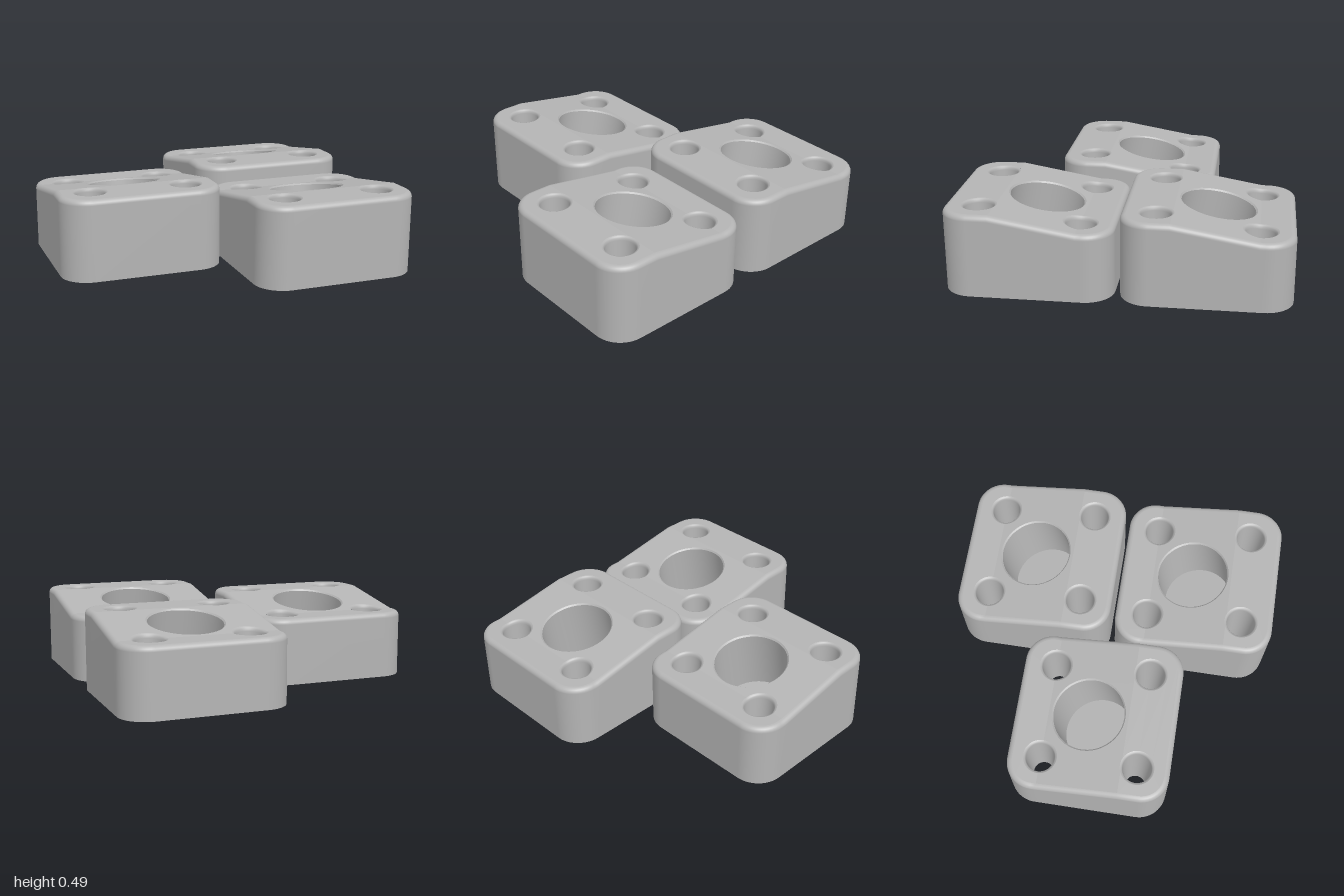
import * as THREE from 'three';

const HALF = 0.4925, CORNER = 0.17, FILLET = 0.032;
const HIGH = 0.49, LOW = 0.405, Z_HIGH = 0.2, Z_LOW = -0.29; // stepped, sloping top
const HOLE = 0.294, SEG = 48;

// Height of the top: high flat at the front, slope, low flat at the back
const topY = (z) => LOW + (HIGH - LOW) * THREE.MathUtils.clamp((z - Z_LOW) / (Z_HIGH - Z_LOW), 0, 1);

// Rounded-square outline, with extra points on the sides where the slope begins and ends
function outline(inset) {
  const pts = [], c = HALF - CORNER, r = CORNER - inset, n = 12;
  [[1, 1], [-1, 1], [-1, -1], [1, -1]].forEach(([sx, sz], q) => {
    for (let i = 0; i <= n; i++) {
      const a = (q + i / n) * Math.PI / 2;
      pts.push([sx * c + r * Math.cos(a), sz * c + r * Math.sin(a)]);
    }
    if (q === 1) pts.push([-HALF + inset, Z_HIGH], [-HALF + inset, Z_LOW]);
    if (q === 3) pts.push([HALF - inset, Z_LOW], [HALF - inset, Z_HIGH]);
  });
  return pts;
}

function circle(x, z, r) {
  return Array.from({ length: SEG }, (_, i) => {
    const a = i / SEG * Math.PI * 2;
    return [x + r * Math.cos(a), z + r * Math.sin(a)];
  });
}

// Smooth skin over a stack of closed rings
function loft(rings) {
  const n = rings[0].length, index = [];
  for (let i = 0; i < rings.length - 1; i++) {
    for (let j = 0; j < n; j++) {
      const k = (j + 1) % n, a = i * n + j, b = a + n, c = i * n + k, d = c + n;
      index.push(a, b, c, b, d, c);
    }
  }
  const geo = new THREE.BufferGeometry();
  geo.setAttribute('position', new THREE.Float32BufferAttribute(rings.flat(2), 3));
  geo.setIndex(index);
  geo.computeVertexNormals();
  return geo;
}

// Flat sheet with holes, drawn in x and z
function sheet(border, holes) {
  const vec = (pts) => pts.map(([x, z]) => new THREE.Vector2(x, -z));
  const shape = new THREE.Shape(vec(border));
  shape.holes = holes.map((h) => new THREE.Path(vec(h)));
  return new THREE.ShapeGeometry(shape);
}

// Cut triangles along a line of constant z
function splitAt(tris, z) {
  const out = [];
  for (const t of tris) {
    for (const s of [1, -1]) {
      const poly = [];
      t.forEach((p, i) => {
        const q = t[(i + 1) % 3], dp = s * (p[1] - z), dq = s * (q[1] - z);
        if (dp >= 0) poly.push(p);
        if (dp * dq < 0) poly.push([p[0] + (q[0] - p[0]) * dp / (dp - dq), z]);
      });
      for (let i = 1; i < poly.length - 1; i++) out.push([poly[0], poly[i], poly[i + 1]]);
    }
  }
  return out;
}

function foldedTop(border, holes) {
  const p = sheet(border, holes).toNonIndexed().attributes.position;
  let tris = [];
  for (let i = 0; i < p.count; i += 3) tris.push([0, 1, 2].map((k) => [p.getX(i + k), -p.getY(i + k)]));
  tris = splitAt(splitAt(tris, Z_HIGH), Z_LOW);
  const geo = new THREE.BufferGeometry();
  const pos = tris.flat().flatMap(([x, z]) => [x, topY(z), z]);
  geo.setAttribute('position', new THREE.Float32BufferAttribute(pos, 3));
  geo.computeVertexNormals();
  return geo;
}

// Ring of the central bore, whose axis is square to the slope
function boreRing(r, depth) {
  const tilt = Math.atan2(HIGH - LOW, Z_HIGH - Z_LOW), s = Math.sin(tilt), c = Math.cos(tilt);
  return circle(0, 0, r).map(([u, v]) => [
    u,
    (HIGH + LOW) / 2 + v * s - depth * c,
    (Z_HIGH + Z_LOW) / 2 + v * c + depth * s,
  ]);
}

function createBlock(material) {
  const block = new THREE.Group();
  const add = (name, geo) => {
    const mesh = new THREE.Mesh(geo, material);
    mesh.name = name;
    block.add(mesh);
  };

  // Side walls rolling over into the top edge
  const wall = [outline(0).map(([x, z]) => [x, 0, z])];
  for (let i = 0; i <= 6; i++) {
    const a = i / 6 * Math.PI / 2;
    const drop = FILLET * (1 - Math.sin(a));
    wall.push(outline(FILLET * (1 - Math.cos(a))).map(([x, z]) => [x, topY(z) - drop, z]));
  }
  add('sideWalls', loft(wall));

  // Tapered screw holes with a rounded lip
  const corners = [[1, 1], [-1, 1], [-1, -1], [1, -1]].map(([x, z]) => [x * HOLE, z * HOLE]);
  for (const [x, z] of corners) {
    const ring = (r, drop) => circle(x, z, r).map(([px, pz]) => [px, topY(pz) - drop, pz]);
    add('screwHole', loft([
      ring(0.103, 0), ring(0.094, 0.004), ring(0.089, 0.012), ring(0.087, 0.024),
      circle(x, z, 0.064).map(([px, pz]) => [px, 0, pz]),
    ]));
  }

  // Blind central bore with a chamfered rim
  const rim = boreRing(0.23, 0), neck = boreRing(0.221, 0.009), base = boreRing(0.221, 0.395);
  add('boreRim', loft([rim, neck]));
  add('boreWall', loft([neck, base]));
  add('boreFloor', loft([base, boreRing(0, 0.395)]));

  // Top and underside
  const mouths = corners.map(([x, z]) => circle(x, z, 0.103));
  add('top', foldedTop(outline(FILLET), [...mouths, rim.map(([x, , z]) => [x, z])]));
  const exits = corners.map(([x, z]) => circle(x, z, 0.064));
  add('underside', sheet(outline(0), exits).rotateX(Math.PI / 2));
  return block;
}

export function createModel() {
  const model = new THREE.Group();
  model.name = 'blockSet';
  const grey = new THREE.MeshStandardMaterial({ color: 0xb4b4b4 });
  grey.name = 'grey';
  // Three identical blocks
  const places = { rightBlock: [-0.5075, 0], leftBackBlock: [0.5075, -0.5075], leftFrontBlock: [0.5075, 0.5075] };
  for (const [name, [x, z]] of Object.entries(places)) {
    const block = createBlock(grey);
    block.name = name;
    block.position.set(x, 0, z);
    model.add(block);
  }
  return model;
}
